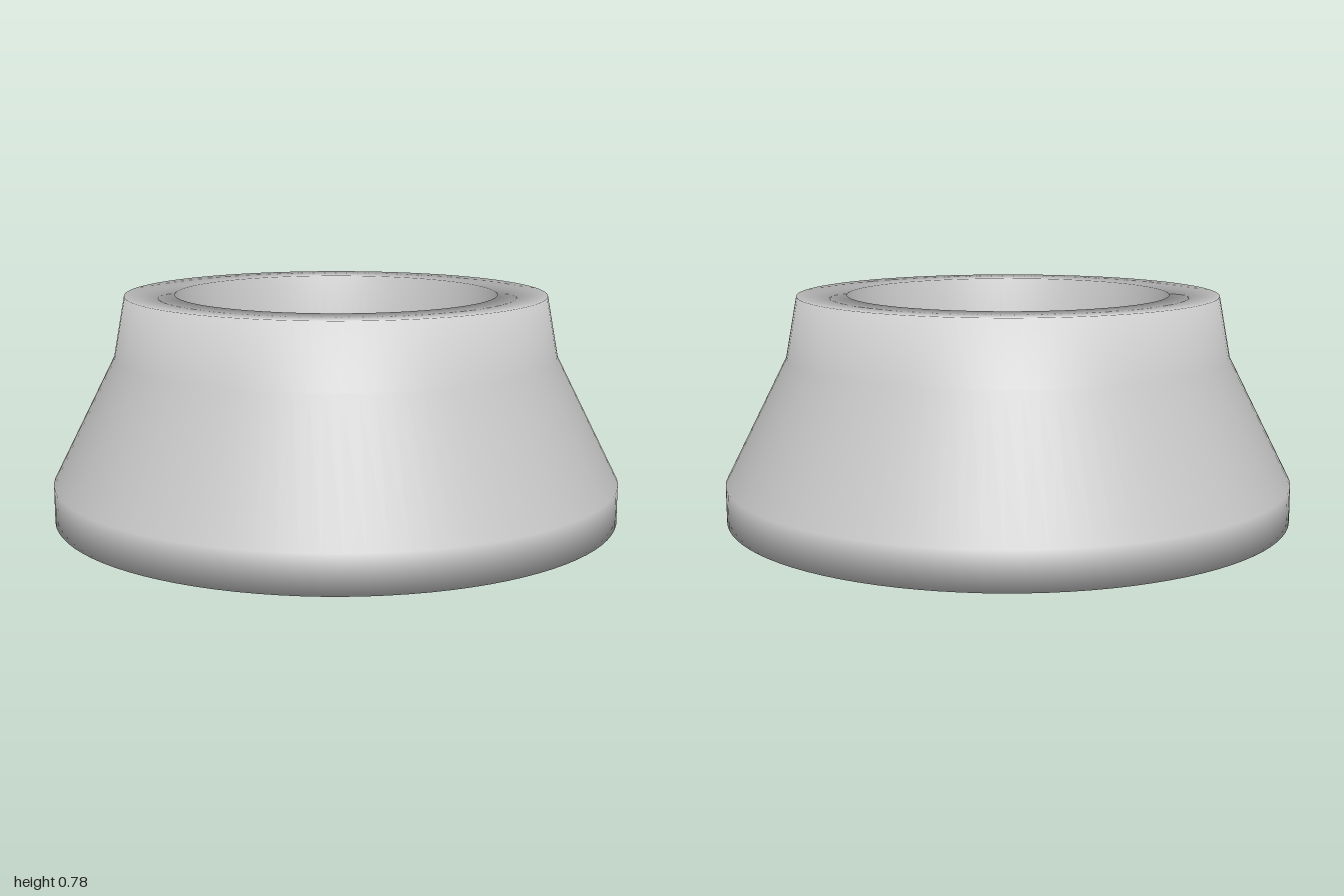
import * as THREE from 'three';

export function createModel() {
  const model = new THREE.Group();
  const material = new THREE.MeshStandardMaterial({ color: 0xcccccc });
  const segments = 96;
  const boreRadius = 0.565;
  const floorHeight = 0.13;

  // Turned body: underside, foot band, sloping skirt, collar, flat rim, bore wall
  const profile = [
    [0, 0], [0.5, 0], [1, 0], [1, 0.13], [0.78, 0.565],
    [0.74, 0.78], [boreRadius, 0.78], [boreRadius, floorHeight],
  ].map(([r, y]) => new THREE.Vector2(r, y));
  const body = new THREE.Mesh(new THREE.LatheGeometry(profile, segments), material);
  body.name = 'body';
  model.add(body);

  // Flat floor of the bore
  const floor = new THREE.Mesh(new THREE.CircleGeometry(boreRadius, segments), material);
  floor.name = 'boreFloor';
  floor.rotation.x = -Math.PI / 2;
  floor.position.y = floorHeight;
  model.add(floor);

  return model;
}
